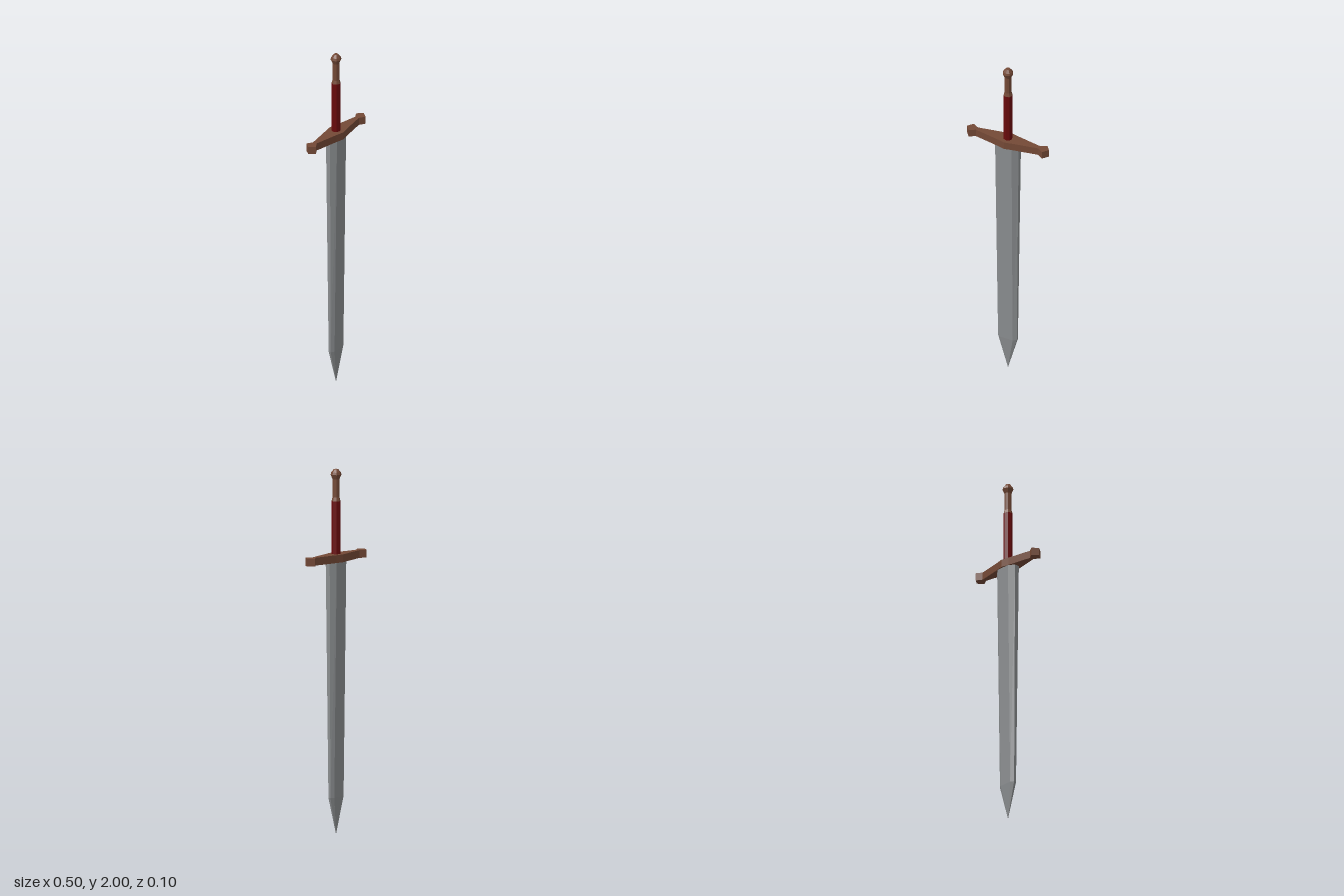
import * as THREE from 'three';

const material = (name, color) => {
  const m = new THREE.MeshStandardMaterial({ color, flatShading: true });
  m.name = name;
  return m;
};

// Eight-sided blade: rings of [y, edge x, face x, edge z, face z], from tip to guard
function bladeGeometry() {
  const rings = [
    [0, 0.001, 0.0005, 0.0005, 0.001],
    [0.2, 0.057, 0.038, 0.007, 0.019],
    [1.5, 0.072, 0.041, 0.014, 0.038],
  ];
  const positions = [];
  const indices = [];
  for (const [y, ex, fx, ez, fz] of rings) {
    const section = [[ex, ez], [fx, fz], [-fx, fz], [-ex, ez], [-ex, -ez], [-fx, -fz], [fx, -fz], [ex, -ez]];
    for (const [x, z] of section) positions.push(x, y, z);
  }
  for (let r = 0; r < rings.length - 1; r++) {
    for (let i = 0; i < 8; i++) {
      const a = r * 8 + i;
      const b = r * 8 + (i + 1) % 8;
      indices.push(a, a + 8, b, b, a + 8, b + 8);
    }
  }
  const geometry = new THREE.BufferGeometry();
  geometry.setAttribute('position', new THREE.Float32BufferAttribute(positions, 3));
  geometry.setIndex(indices);
  const flat = geometry.toNonIndexed();
  flat.computeVertexNormals();
  return flat;
}

// Crossguard: mirrored outline with diamond ends, extruded upward
function guardGeometry() {
  const quarter = [[0.25, 0], [0.224, 0.033], [0.19, 0.012], [0.045, 0.038], [0, 0.048]];
  const half = [...quarter, ...quarter.slice(0, 4).reverse().map(([x, z]) => [-x, z])];
  const outline = [...half, ...half.slice(1, -1).reverse().map(([x, z]) => [x, -z])];
  const shape = new THREE.Shape(outline.map(([x, z]) => new THREE.Vector2(x, z)));
  const geometry = new THREE.ExtrudeGeometry(shape, { depth: 0.043, bevelEnabled: false });
  return geometry.rotateX(-Math.PI / 2).translate(0, 1.492, 0);
}

const lathe = (profile) =>
  new THREE.LatheGeometry(profile.map(([r, y]) => new THREE.Vector2(r, y)), 8);

export function createModel() {
  const model = new THREE.Group();
  model.name = 'sword';
  const steel = material('steel', 0x8a8d8f);
  const bronze = material('bronze', 0x744936);
  const leather = material('red leather', 0x6a0a0c);

  const add = (name, geometry, mat) => {
    const mesh = new THREE.Mesh(geometry, mat);
    mesh.name = name;
    model.add(mesh);
  };

  add('blade', bladeGeometry(), steel);
  add('crossguard', guardGeometry(), bronze);
  add('grip', lathe([[0.025, 1.53], [0.025, 1.825], [0, 1.825]]), leather);
  // Upper handle and faceted pommel in one profile
  add('pommel', lathe([
    [0.025, 1.825], [0.019, 1.845], [0.019, 1.945], [0.03, 1.97], [0.026, 1.983], [0.012, 2], [0, 2],
  ]), bronze);
  return model;
}
